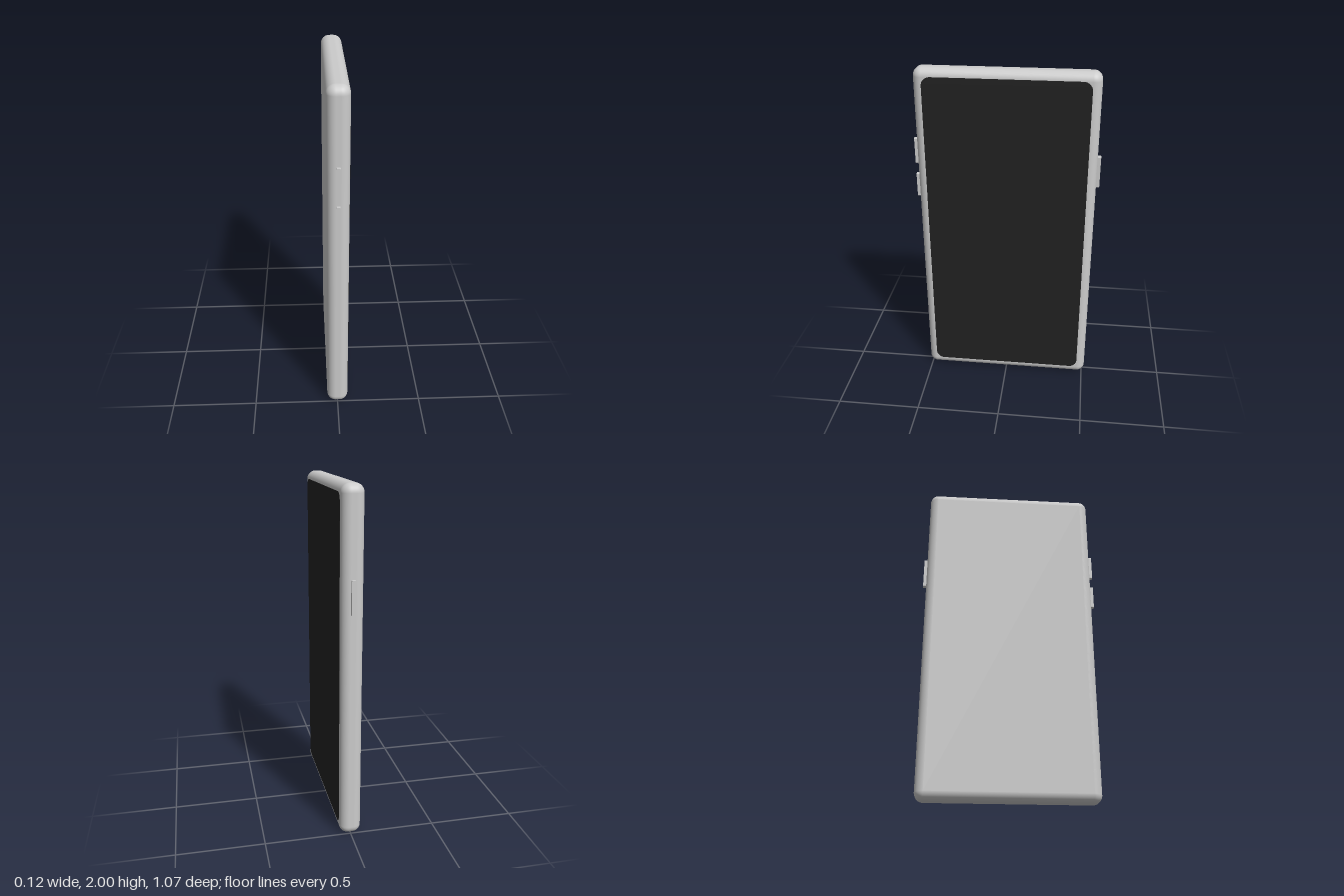
import * as THREE from 'three';
import { RoundedBoxGeometry } from 'three/addons/geometries/RoundedBoxGeometry.js';

const grey = new THREE.MeshStandardMaterial({ color: 0xcccccc });
const black = new THREE.MeshStandardMaterial({ color: 0x222222 });

// Flat plate with rounded corners in XY, extruded along +z
function plate(name, w, h, r, depth, material) {
  const x = w / 2 - r, y = h / 2 - r;
  const shape = new THREE.Shape();
  shape.absarc(x, y, r, 0, Math.PI / 2);
  shape.absarc(-x, y, r, Math.PI / 2, Math.PI);
  shape.absarc(-x, -y, r, Math.PI, Math.PI * 1.5);
  shape.absarc(x, -y, r, Math.PI * 1.5, Math.PI * 2);
  shape.closePath();
  const geometry = new THREE.ExtrudeGeometry(shape, { depth, bevelEnabled: false, curveSegments: 10 });
  const mesh = new THREE.Mesh(geometry, material);
  mesh.name = name;
  return mesh;
}

export function createModel() {
  const group = new THREE.Group();
  group.name = 'phone';

  // Slab body with softly rounded edges
  const body = new THREE.Mesh(new RoundedBoxGeometry(0.124, 2, 1.032, 8, 0.05), grey);
  body.name = 'body';
  body.position.y = 1;
  group.add(body);

  // Display on the +x face
  const screen = plate('screen', 0.93, 1.9, 0.05, 0.004, black);
  screen.rotation.y = Math.PI / 2;
  screen.position.set(0.059, 1.003, 0);
  group.add(screen);

  // Side keys: two volume keys on +z, one power key on -z
  const keys = [
    ['volumeUpButton', 1.507, 0.155, 1],
    ['volumeDownButton', 1.293, 0.145, 1],
    ['powerButton', 1.42, 0.19, -1],
  ];
  for (const [name, y, height, side] of keys) {
    const key = plate(name, 0.025, height, 0.006, 0.035, grey);
    key.position.set(0, y, side * 0.5);
    if (side < 0) key.rotation.y = Math.PI;
    group.add(key);
  }
  return group;
}
